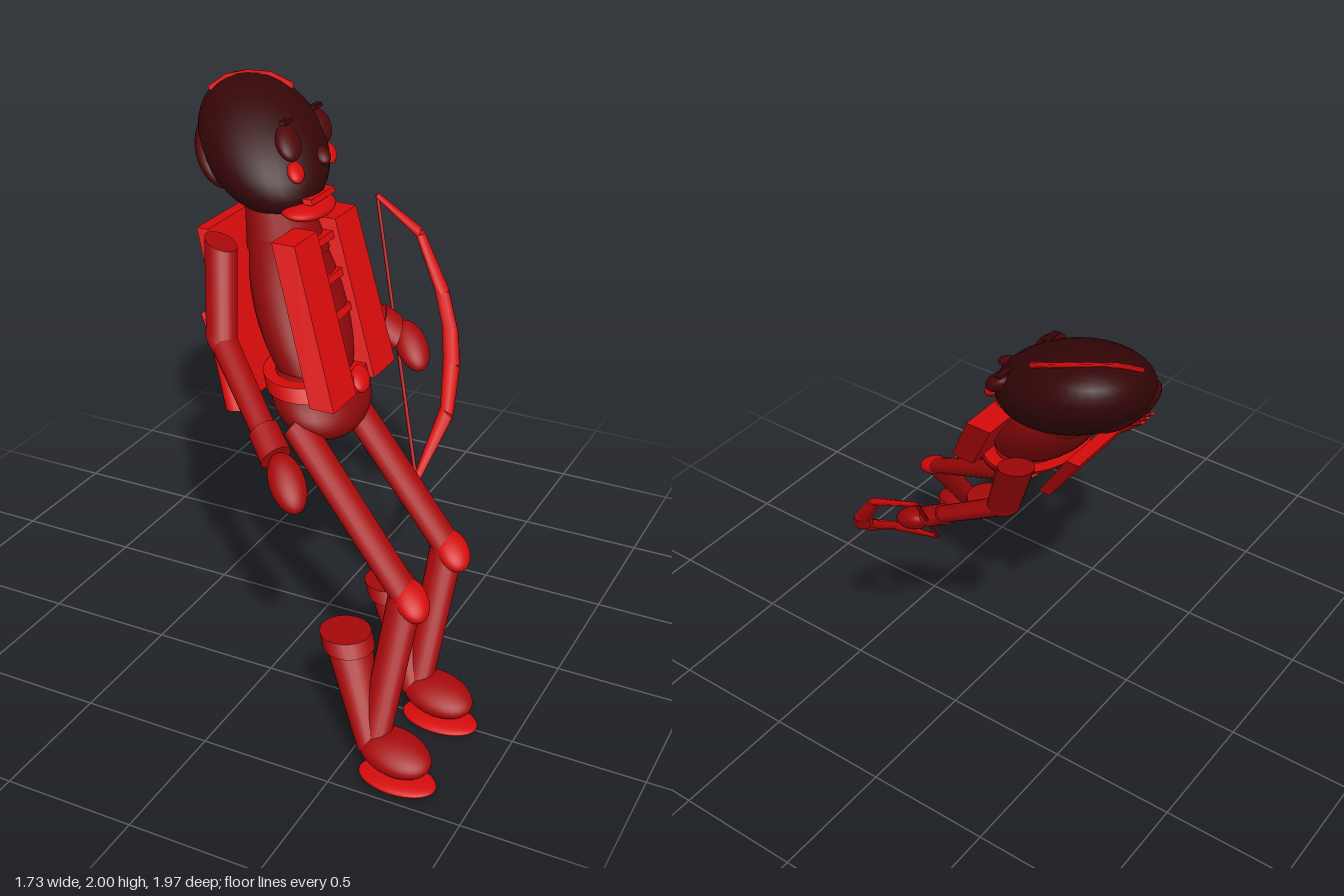
import * as THREE from 'three';

// The figure is designed upright, facing +x, then leaned by one shear.
const lean = new THREE.Matrix4().set(
  1, -0.7, 0, 0.68,
  0, 1, 0, 0,
  0, -0.7, 1, 0.72,
  0, 0, 0, 1);

const material = (name, color) => {
  const m = new THREE.MeshStandardMaterial({ color });
  m.name = name;
  return m;
};

export function createModel() {
  const model = new THREE.Group();
  model.name = 'leaningArcher';
  const hair = material('darkHair', 0x340507);
  const eyeRed = material('eyeMaroon', 0x4c0608);
  const cloth = material('deepRed', 0xa4080a);
  const torsoRed = material('torsoRed', 0x8a0709);
  const bright = material('brightRed', 0xd20a0a);

  const v = (p) => new THREE.Vector3(...p);

  // Bake placement and lean into the geometry
  function add(name, geometry, mat, placement = new THREE.Matrix4()) {
    geometry.applyMatrix4(lean.clone().multiply(placement));
    const mesh = new THREE.Mesh(geometry, mat);
    mesh.name = name;
    model.add(mesh);
  }

  function blob(name, p, r, mat) {
    const g = new THREE.SphereGeometry(1, 28, 18);
    add(name, g.scale(...r).translate(...p), mat);
  }

  function box(name, p, size, mat) {
    add(name, new THREE.BoxGeometry(...size).translate(...p), mat);
  }

  function limb(name, from, to, r0, r1, mat, sides = 18) {
    const a = v(from), b = v(to), d = b.clone().sub(a);
    const g = new THREE.CylinderGeometry(r1, r0, d.length(), sides);
    const q = new THREE.Quaternion().setFromUnitVectors(new THREE.Vector3(0, 1, 0), d.normalize());
    add(name, g, mat, new THREE.Matrix4().compose(a.add(b).multiplyScalar(0.5), q, v([1, 1, 1])));
  }

  // Head and hair
  blob('head', [0, 1.765, 0], [0.262, 0.232, 0.255], hair);
  blob('backHair', [-0.19, 1.73, 0.02], [0.08, 0.13, 0.17], eyeRed);
  const band = new THREE.CatmullRomCurve3(
    [[-0.14, 1.94, 0.095], [-0.065, 1.98, 0.046], [0.07, 1.982, -0.05], [0.155, 1.945, -0.08]].map(v));
  add('headband', new THREE.TubeGeometry(band, 4, 0.015, 6), bright);

  // Face
  for (const s of [1, -1]) {
    blob('eye', [0.2, 1.81, s * 0.135], [0.045, 0.058, 0.065], eyeRed);
    box('brow', [0.21, 1.878, s * 0.13], [0.025, 0.012, 0.07], hair);
    blob('cheek', [0.207, 1.72, s * 0.143], [0.03, 0.035, 0.043], bright);
  }
  blob('nose', [0.262, 1.75, 0], [0.035, 0.03, 0.032], eyeRed);
  box('mouth', [0.2, 1.615, 0], [0.04, 0.018, 0.2], bright);
  blob('chin', [0.14, 1.575, 0], [0.095, 0.035, 0.155], bright);

  // Torso
  limb('neck', [0, 1.43, 0], [0, 1.6, 0], 0.165, 0.125, torsoRed);
  blob('torso', [0, 1.26, 0], [0.175, 0.31, 0.22], torsoRed);
  blob('hips', [0, 1.0, 0], [0.175, 0.13, 0.245], torsoRed);
  add('belt', new THREE.CylinderGeometry(1, 1, 0.045, 32).scale(0.19, 1, 0.25).translate(0, 1.053, 0), bright);
  blob('buckle', [0.185, 1.055, 0], [0.03, 0.038, 0.055], bright);

  // Open jacket: two front panels, lacing and the back
  for (const s of [1, -1]) box('frontPanel', [0.15, 1.278, s * 0.175], [0.1, 0.485, 0.19], bright);
  for (const y of [1.25, 1.355, 1.47]) box('lacing', [0.155, y, 0], [0.04, 0.022, 0.18], bright);
  box('backPanel', [-0.22, 1.26, 0], [0.05, 0.52, 0.5], bright);

  // Quiver and arrows behind the hip
  limb('quiver', [-0.215, 0.99, 0.28], [-0.235, 1.2, 0.25], 0.045, 0.05, bright);
  for (const w of [0.21, 0.245, 0.28]) limb('arrow', [-0.235, 1.1, w + 0.02], [-0.28, 1.265, w], 0.01, 0.01, bright, 8);

  // Arms
  const arms = [
    { side: 'right', shoulder: [-0.08, 1.52, 0.345], elbow: [-0.18, 1.22, 0.335], wrist: [0.025, 0.945, 0.452], hand: [0.065, 0.89, 0.475] },
    { side: 'left', shoulder: [-0.08, 1.52, -0.37], elbow: [-0.15, 1.2, -0.46], wrist: [0.045, 1.005, -0.605], hand: [0.085, 0.96, -0.63] },
  ];
  for (const a of arms) {
    limb(a.side + 'UpperArm', a.shoulder, a.elbow, 0.062, 0.058, cloth);
    blob(a.side + 'Elbow', a.elbow, [0.06, 0.06, 0.06], cloth);
    limb(a.side + 'Forearm', a.elbow, a.wrist, 0.054, 0.048, cloth);
    const cuffStart = v(a.elbow).lerp(v(a.wrist), 0.78).toArray();
    limb(a.side + 'Cuff', cuffStart, a.wrist, 0.06, 0.062, cloth);
    blob(a.side + 'Hand', a.hand, [0.07, 0.08, 0.064], cloth);
  }

  // Legs with bent knees, boots and soles
  for (const [side, w] of [['right', 0.19], ['left', -0.19]]) {
    const hip = [-0.03, 0.95, w], knee = [0.28, 0.52, w];
    limb(side + 'Thigh', hip, knee, 0.062, 0.055, cloth);
    blob(side + 'Knee', [0.29, 0.52, w], [0.064, 0.056, 0.064], bright);
    limb(side + 'Shin', [0.265, 0.52, w], [-0.01, 0.1, w], 0.055, 0.048, cloth);
    limb(side + 'BootShaft', [-0.02, 0.09, w], [-0.02, 0.36, w], 0.055, 0.085, cloth);
    limb(side + 'BootCuff', [-0.02, 0.345, w], [-0.02, 0.385, w], 0.095, 0.095, cloth);
    blob(side + 'Foot', [0.07, 0.09, w], [0.135, 0.055, 0.085], cloth);
    blob(side + 'Sole', [0.055, 0.022, w], [0.145, 0.022, 0.085], bright);
  }

  // Bow: faceted, tapering limbs and a straight string
  const bow = [[0.07, 1.44, -0.69], [0.21, 1.32, -0.73], [0.22, 1.12, -0.772],
    [0.21, 0.99, -0.772], [0.193, 0.89, -0.737], [0.15, 0.75, -0.665], [-0.02, 0.545, -0.57]];
  const width = [0.012, 0.022, 0.032, 0.034, 0.034, 0.026, 0.012];
  for (let i = 0; i < bow.length - 1; i++) {
    limb('bowLimb', bow[i], bow[i + 1], width[i], width[i + 1], bright, 8);
  }
  limb('bowString', bow[0], bow[bow.length - 1], 0.008, 0.008, cloth, 6);

  return model;
}
